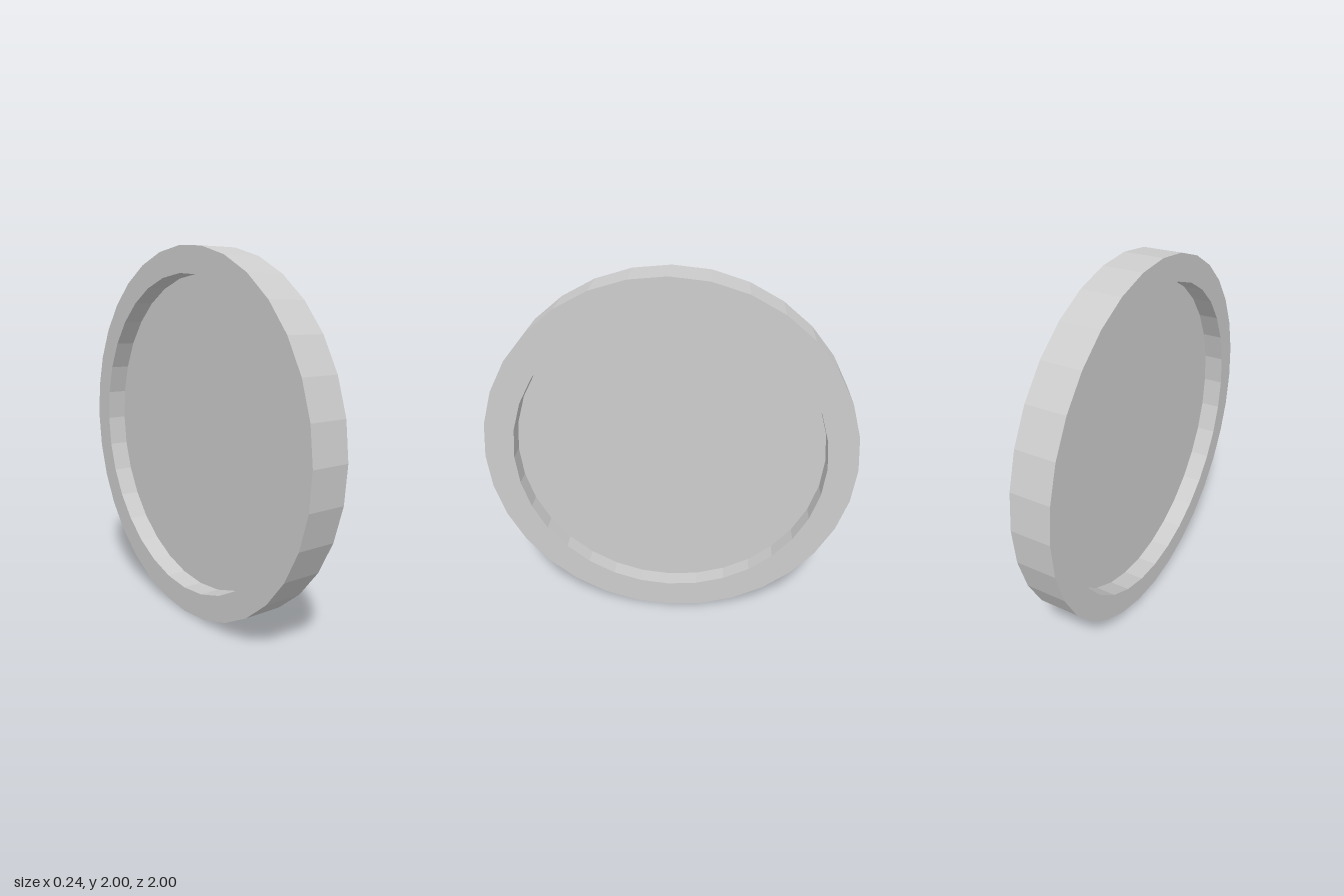
import * as THREE from 'three';

export function createModel() {
  const group = new THREE.Group();
  const material = new THREE.MeshStandardMaterial({ color: 0xcccccc, flatShading: true });

  const half = 0.106;  // half the thickness of the rim

  // Cross-section of a raised rim around a thin recessed web: [radius, height]
  const profile = [
    [0, 0.005], [0.86, 0.005], [0.86, -half], [1, -half],
    [1, half], [0.84, half], [0.84, 0.013], [0, 0.013],
  ].map(([r, h]) => new THREE.Vector2(r, h));

  // Lathe standing on edge, leaning very slightly to one side
  const disc = new THREE.Mesh(new THREE.LatheGeometry(profile, 32), material);
  disc.name = 'rimmedDisc';
  disc.rotation.z = -Math.PI / 2 + 0.0125;
  disc.position.set(-0.002, 1, 0);
  group.add(disc);

  return group;
}
